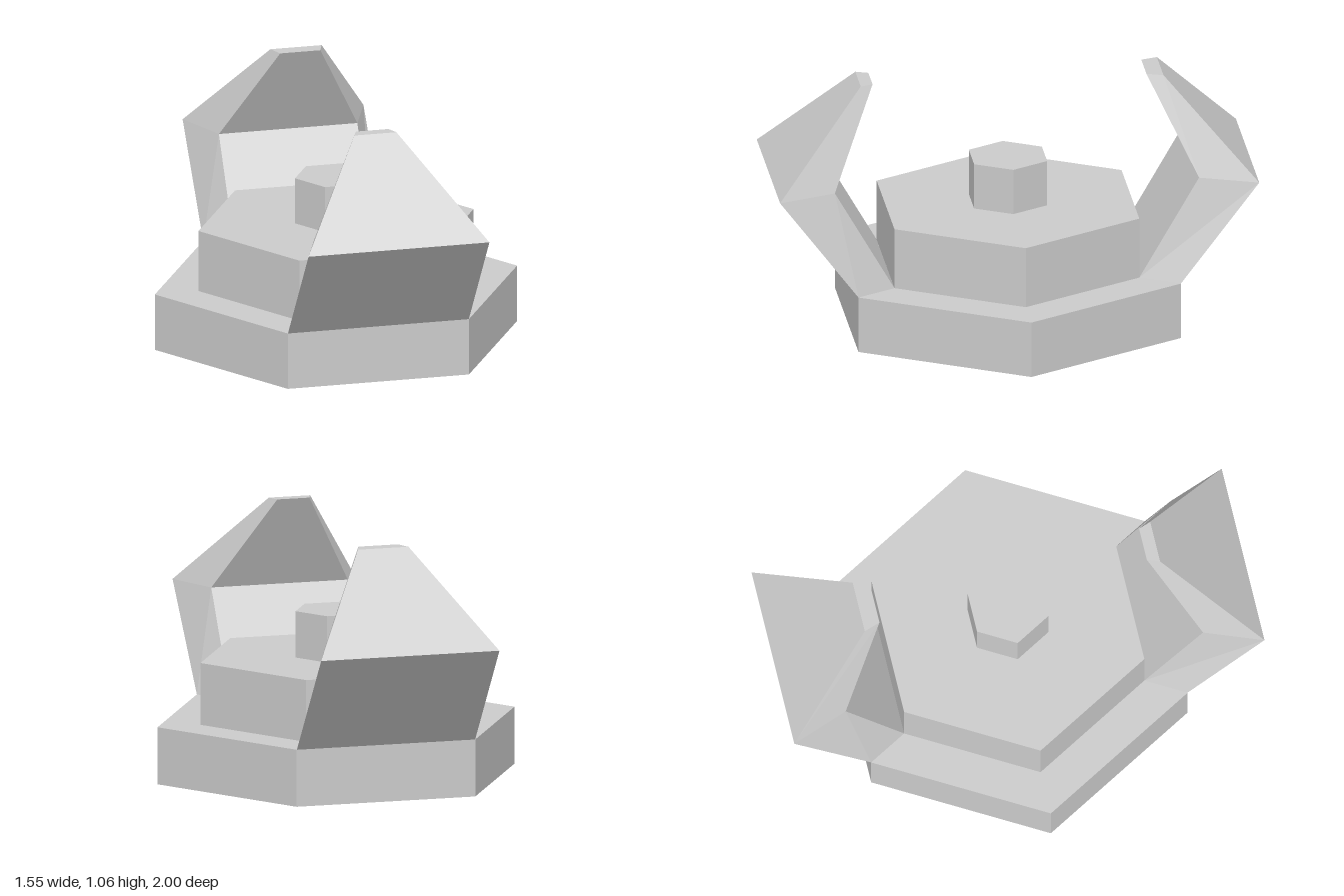
import * as THREE from 'three';

const material = new THREE.MeshStandardMaterial({ color: 0xcccccc, flatShading: true });

// Hexagonal prism with corners on the x axis
function hexPrism(name, radius, y0, y1) {
  const geometry = new THREE.CylinderGeometry(radius, radius, y1 - y0, 6, 1, false, Math.PI / 6);
  const mesh = new THREE.Mesh(geometry, material);
  mesh.name = name;
  mesh.position.y = (y0 + y1) / 2;
  return mesh;
}

// Bent claw lofted through trapezoid sections: [y, outerZ, outerHalfWidth, innerZ, innerHalfWidth]
function claw(name, sections) {
  const rings = sections.map(([y, zo, xo, zi, xi]) => [
    [-xo, y, zo], [xo, y, zo], [xi, y, zi], [-xi, y, zi],
  ]);
  const positions = [];
  const quad = (a, b, c, d) => positions.push(...a, ...b, ...c, ...a, ...c, ...d);

  for (let s = 0; s < rings.length - 1; s++) {
    const lo = rings[s], hi = rings[s + 1];
    for (let i = 0; i < 4; i++) {
      const j = (i + 1) % 4;
      quad(lo[i], lo[j], hi[j], hi[i]);
    }
  }
  quad(...rings[rings.length - 1]);
  quad(...[...rings[0]].reverse());

  const geometry = new THREE.BufferGeometry();
  geometry.setAttribute('position', new THREE.Float32BufferAttribute(positions, 3));
  geometry.computeVertexNormals();
  const mesh = new THREE.Mesh(geometry, material);
  mesh.name = name;
  return mesh;
}

export function createModel() {
  const group = new THREE.Group();
  group.name = 'hexagonalPlatform';

  // Stepped hexagonal body
  group.add(
    hexPrism('base', 0.777, 0, 0.24),
    hexPrism('upperTier', 0.59, 0.24, 0.5),
    hexPrism('centerPost', 0.176, 0.5, 0.695),
  );

  // Two facing claws; the rear tip is slightly wider
  const foot = [0.24, 0.673, 0.388, 0.511, 0.295];
  const elbow = [0.67, 1, 0.388, 0.76, 0.297];
  const frontClaw = claw('frontClaw', [foot, elbow, [1.06, 0.626, 0.09, 0.574, 0.07]]);
  const backClaw = claw('backClaw', [foot, elbow, [1.06, 0.635, 0.11, 0.567, 0.086]]);
  backClaw.rotation.y = Math.PI;
  group.add(frontClaw, backClaw);

  return group;
}
